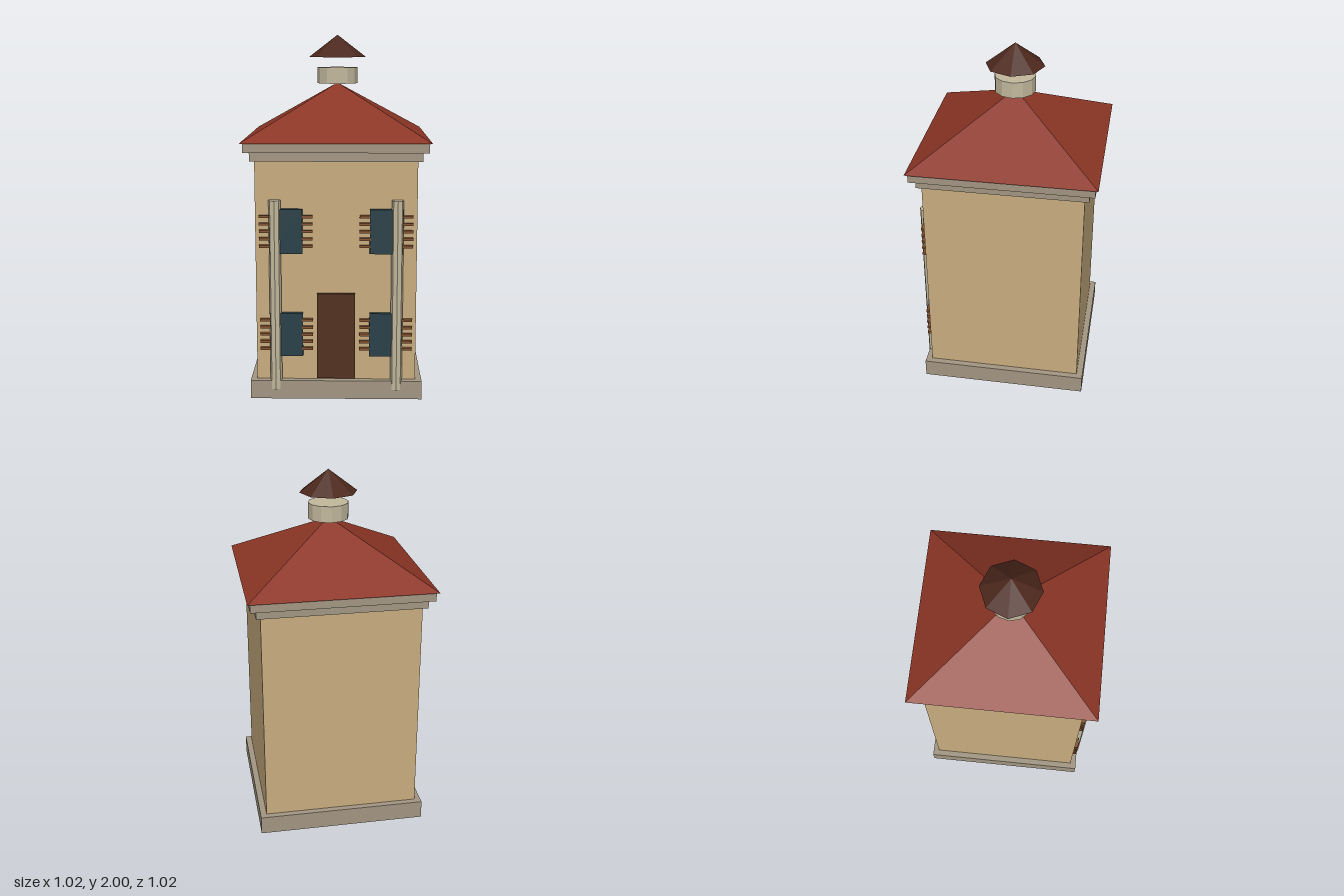
import * as THREE from 'three';

const mat = (color) => new THREE.MeshStandardMaterial({ color, flatShading: true });

export function createModel() {
  const model = new THREE.Group();
  const wall = mat(0xc8ad7f), stone = mat(0xa39682), roofTile = mat(0x8b3525);
  const capTile = mat(0x4c271c), pale = mat(0xc2b89c), glass = mat(0x2a4048);
  const doorWood = mat(0x52301f), slatWood = mat(0x84532f);

  const add = (name, geometry, material, x, y, z, parent = model) => {
    const mesh = new THREE.Mesh(geometry, material);
    mesh.name = name;
    mesh.position.set(x, y, z);
    parent.add(mesh);
    return mesh;
  };
  // Square slab between two heights
  const slab = (name, half, y0, y1, material) =>
    add(name, new THREE.BoxGeometry(half * 2, y1 - y0, half * 2), material, 0, (y0 + y1) / 2, 0);

  // Tower body with plinth and stepped cornice
  slab('plinth', 0.475, 0, 0.105, stone);
  slab('walls', 0.44, 0.105, 1.33, wall);
  slab('lowerCornice', 0.465, 1.33, 1.38, stone);
  slab('upperCornice', 0.497, 1.38, 1.43, stone);

  // Pyramid roof
  const roof = new THREE.ConeGeometry(0.512 * Math.SQRT2, 0.3, 4).rotateY(Math.PI / 4);
  add('roof', roof, roofTile, 0, 1.58, 0);

  // Rooftop drum and the cap hovering above it
  add('drum', new THREE.CylinderGeometry(0.114, 0.114, 0.09, 12), pale, 0, 1.772, 0);
  add('cap', new THREE.ConeGeometry(0.163, 0.125, 8), capTile, 0, 1.9375, 0);

  // Door
  add('door', new THREE.BoxGeometry(0.21, 0.485, 0.04), doorWood, 0, 0.3575, 0.442);

  for (const side of [-1, 1]) {
    // Column
    add('column', new THREE.CylinderGeometry(0.033, 0.033, 1.065, 8), pale, side * 0.333, 0.5875, 0.453);

    // Windows with slatted shutters on both sides
    for (const y of [0.368, 0.948]) {
      const win = new THREE.Group();
      win.name = 'window';
      win.position.set(side * 0.273, y, 0.44);
      model.add(win);
      add('pane', new THREE.BoxGeometry(0.18, 0.245, 0.05), glass, 0, 0, 0, win);
      for (const end of [-1, 1]) {
        for (let i = -2; i <= 2; i++) {
          add('shutterSlat', new THREE.BoxGeometry(0.06, 0.014, 0.02), slatWood,
            end * 0.115, i * 0.041, 0.015, win);
        }
      }
    }
  }
  return model;
}
